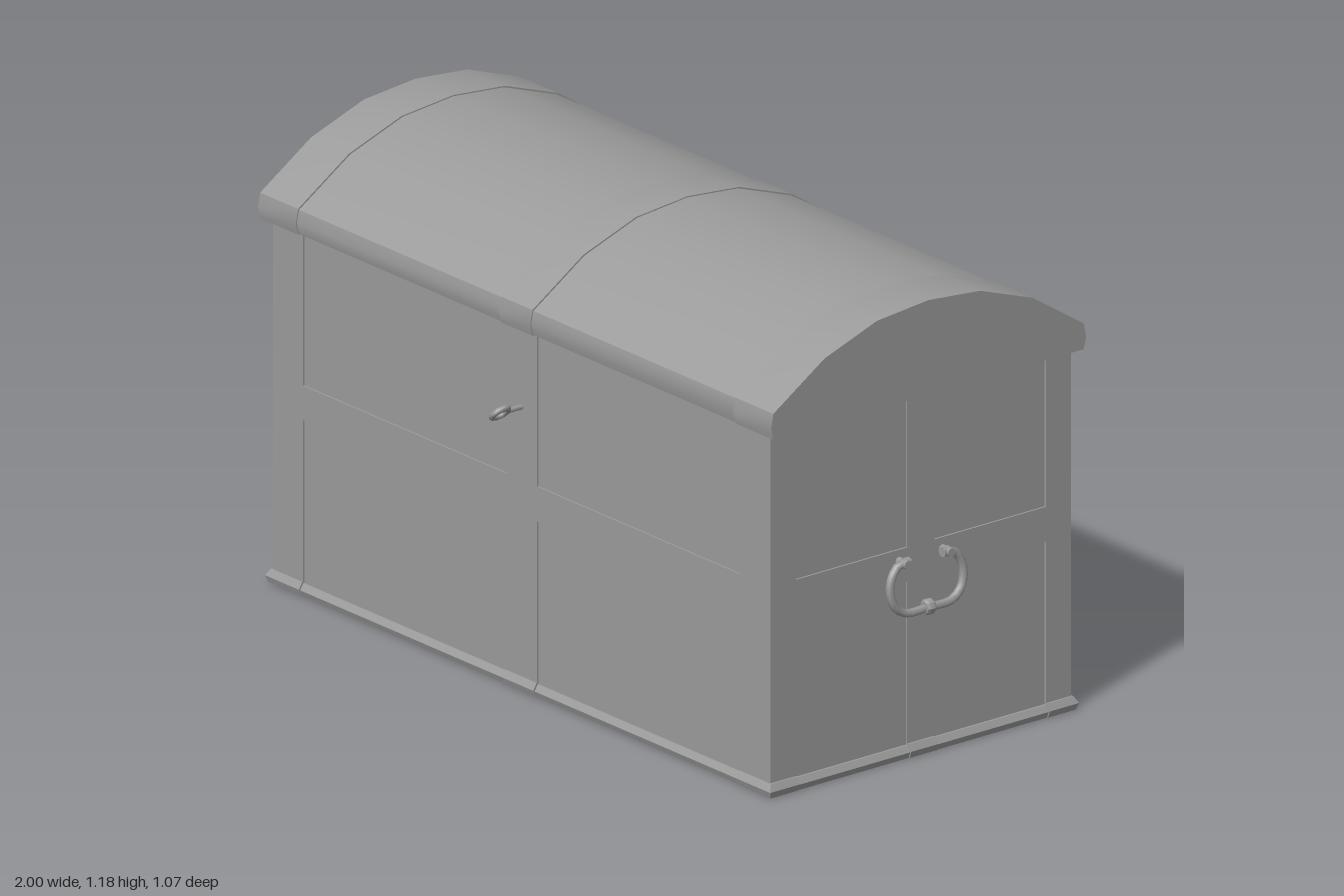
import * as THREE from 'three';
import { toCreasedNormals } from 'three/addons/utils/BufferGeometryUtils.js';

const material = new THREE.MeshStandardMaterial({ color: 0x9b9b9b });
const CENTRE_Z = -0.0375;

function add(parent, name, geometry) {
  const mesh = new THREE.Mesh(geometry, material);
  mesh.name = name;
  parent.add(mesh);
}

// Box given by its limits on each axis
function slab(x0, x1, y0, y1, z0, z1, rows = 1) {
  return new THREE.BoxGeometry(x1 - x0, y1 - y0, z1 - z0, 1, rows, 1)
    .translate((x0 + x1) / 2, (y0 + y1) / 2, (z0 + z1) / 2);
}

// Plinth piece whose outer faces lean in towards the top and bottom
function plinth(x0, x1, y0, y1, z0, z1) {
  const g = slab(x0, x1, y0, y1, z0, z1, 2);
  const p = g.attributes.position;
  for (let i = 0; i < p.count; i++) {
    const lean = p.getY(i) > y1 - 0.002 ? 0.01 : p.getY(i) < y0 + 0.002 ? 0.006 : 0;
    const x = p.getX(i), z = p.getZ(i);
    if (Math.abs(x) > 0.9) p.setX(i, x - Math.sign(x) * lean);
    if (Math.abs(z) > 0.45) p.setZ(i, z - Math.sign(z) * lean);
  }
  return toCreasedNormals(g, 0.1);
}

// Arched lid section between two x positions, shrunk by an inset
function lidSection(x0, x1, inset) {
  const half = [[0.4875, 0.94], [0.4945, 0.97], [0.4875, 1.007], [0.327, 1.112], [0.162, 1.17]];
  const right = half.map(([z, y]) => new THREE.Vector2(z - inset, y - (y > 1 ? inset : -inset * 0.5)));
  const left = right.map((v) => new THREE.Vector2(-v.x, v.y)).reverse();
  const shape = new THREE.Shape([...right, new THREE.Vector2(0, 1.185 - inset), ...left]);
  const g = new THREE.ExtrudeGeometry(shape, { depth: x1 - x0, bevelEnabled: false });
  g.rotateY(Math.PI / 2).translate(x0, 0, 0);
  return toCreasedNormals(g, 0.45);
}

// Carrying handle facing +x
function createHandle() {
  const handle = new THREE.Group();
  const half = [[0.055, 0.515, 0.968], [0.085, 0.512, 0.968], [0.108, 0.485, 0.97],
    [0.115, 0.45, 0.973], [0.105, 0.415, 0.976], [0.075, 0.39, 0.978]];
  const side = (s) => half.map(([z, y, x]) => new THREE.Vector3(x, y, s * z));
  const path = new THREE.CatmullRomCurve3([...side(1), new THREE.Vector3(0.979, 0.388, 0), ...side(-1).reverse()]);
  add(handle, 'handleRing', new THREE.TubeGeometry(path, 28, 0.011, 6));

  // Thicker grip at the middle of the ring
  const grip = [[0, -0.013], [0.016, -0.013], [0.021, -0.005], [0.021, 0.005], [0.016, 0.013], [0, 0.013]];
  const knob = new THREE.LatheGeometry(grip.map((p) => new THREE.Vector2(...p)), 8);
  add(handle, 'handleGrip', toCreasedNormals(knob.rotateX(Math.PI / 2).translate(0.979, 0.39, 0), 0.6));

  for (const s of [-1, 1]) {
    // Pin into the side wall, and collar around the end of the ring
    add(handle, 'handlePin', new THREE.CylinderGeometry(0.012, 0.012, 0.045, 8)
      .rotateZ(Math.PI / 2).translate(0.9635, 0.515, s * 0.068));
    add(handle, 'handleCollar', new THREE.CylinderGeometry(0.0135, 0.0135, 0.02, 8)
      .rotateX(Math.PI / 2).translate(0.968, 0.515, s * 0.062));
  }
  return handle;
}

export function createModel() {
  const model = new THREE.Group();
  model.name = 'chest';
  const chest = new THREE.Group();
  chest.name = 'chestAssembly';
  chest.position.z = CENTRE_Z;
  model.add(chest);

  // Body with slightly raised straps
  add(chest, 'body', slab(-0.945, 0.945, 0.02, 0.95, -0.468, 0.468));
  add(chest, 'frontBackStrap', slab(-0.06, 0.06, 0.03, 0.945, -0.4725, 0.4725));
  add(chest, 'sideStrap', slab(-0.95, 0.95, 0.03, 0.945, -0.0425, 0.0425));
  add(chest, 'waistStrap', slab(-0.95, 0.95, 0.455, 0.545, -0.4725, 0.4725));

  // Plinth with matching strap ends, level underneath
  add(chest, 'plinth', plinth(-0.961, 0.961, 0, 0.032, -0.481, 0.481));
  add(chest, 'plinthFrontStrap', plinth(-0.06, 0.06, 0.001, 0.036, 0.44, 0.485));
  add(chest, 'plinthBackStrap', plinth(-0.06, 0.06, 0.001, 0.036, -0.485, -0.44));
  add(chest, 'plinthLeftStrap', plinth(0.91, 0.965, 0.001, 0.036, -0.0425, 0.0425));
  add(chest, 'plinthRightStrap', plinth(-0.965, -0.91, 0.001, 0.036, -0.0425, 0.0425));

  for (const sx of [-1, 1]) {
    const [x0, x1] = sx > 0 ? [0.835, 0.95] : [-0.95, -0.835];
    const [b0, b1] = sx > 0 ? [0.835, 0.965] : [-0.965, -0.835];
    for (const sz of [-1, 1]) {
      const [z0, z1] = sz > 0 ? [0.3925, 0.4725] : [-0.4725, -0.3925];
      const [c0, c1] = sz > 0 ? [0.3925, 0.485] : [-0.485, -0.3925];
      add(chest, 'cornerStrap', slab(x0, x1, 0.03, 0.945, z0, z1));
      add(chest, 'plinthCorner', plinth(b0, b1, 0.001, 0.036, c0, c1));
    }
  }

  // Arched lid with three slightly raised bands
  add(chest, 'lid', lidSection(-0.975, 0.975, 0.003));
  add(chest, 'lidCentreBand', lidSection(-0.06, 0.06, 0));
  add(chest, 'lidLeftBand', lidSection(0.835, 0.98, 0));
  add(chest, 'lidRightBand', lidSection(-0.98, -0.835, 0));

  // Carrying handles
  for (const s of [1, -1]) {
    const handle = createHandle();
    handle.name = s > 0 ? 'leftHandle' : 'rightHandle';
    if (s < 0) handle.rotation.y = Math.PI;
    chest.add(handle);
  }

  // Tilted eye bolt on the front
  const eyeBolt = new THREE.Group();
  eyeBolt.name = 'eyeBolt';
  eyeBolt.position.set(0, 0.735, 0);
  eyeBolt.rotation.z = -Math.PI / 4;
  add(eyeBolt, 'eyeBoltShaft', new THREE.CylinderGeometry(0.007, 0.007, 0.055, 8)
    .rotateX(Math.PI / 2).translate(0, 0, 0.4525));
  add(eyeBolt, 'eyeBoltRing', new THREE.TorusGeometry(0.023, 0.008, 6, 8)
    .rotateY(Math.PI / 2).translate(0, 0, 0.502));
  model.add(eyeBolt);

  return model;
}
